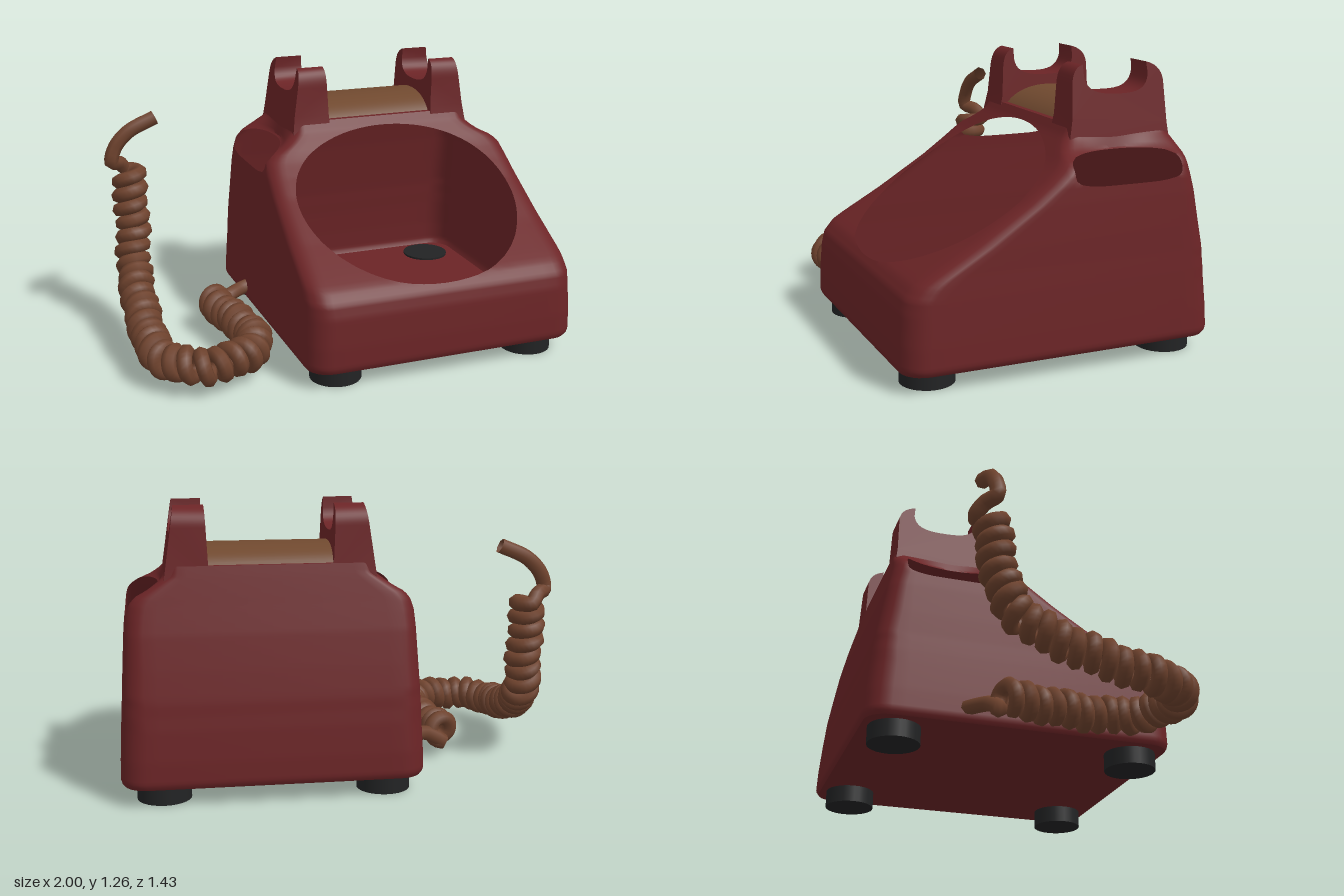
import * as THREE from 'three';
import { toCreasedNormals } from 'three/addons/utils/BufferGeometryUtils.js';

const CX = 0.34; // centre of the housing across x
const mat = (name, color, side = THREE.DoubleSide) => {
  const m = new THREE.MeshStandardMaterial({ color, side });
  m.name = name;
  return m;
};
const red = mat('dark red', 0x6b2426);
const cordBrown = mat('cord brown', 0x6e422d);
const barBrown = mat('bar brown', 0x70492f);
const black = mat('black', 0x222324);

// Housing levels: y, half width, front z, back z, corner radius
const LEVELS = [
  [0.08, 0.645, 0.705, -0.705, 0.10], [0.10, 0.66, 0.717, -0.717, 0.11],
  [0.20, 0.657, 0.715, -0.712, 0.11], [0.33, 0.651, 0.706, -0.70, 0.11],
  [0.39, 0.648, 0.69, -0.692, 0.10], [0.44, 0.645, 0.65, -0.687, 0.10],
  [0.47, 0.643, 0.60, -0.682, 0.09], [0.58, 0.638, 0.41, -0.662, 0.09],
  [0.725, 0.63, 0.18, -0.634, 0.08], [0.80, 0.624, 0.08, -0.616, 0.08],
  [0.85, 0.615, 0.02, -0.604, 0.08], [0.88, 0.595, -0.01, -0.597, 0.08],
  [0.965, 0.45, -0.085, -0.577, 0.05], [1.01, 0.435, -0.112, -0.566, 0.04],
];

function levelAt(y) {
  let i = 0;
  while (i < LEVELS.length - 2 && y > LEVELS[i + 1][0]) i++;
  const a = LEVELS[i], b = LEVELS[i + 1], t = (y - a[0]) / (b[0] - a[0]);
  return a.map((v, k) => v + (b[k] - v) * t);
}

// Rounded rectangle ring at height y; scale 0 collapses it to close the shell
function ring(y, scale = 1) {
  const [, hw, zf, zb, r] = levelAt(y);
  const zc = (zf + zb) / 2, hd = (zf - zb) / 2, out = [];
  const corners = [[1, 1], [-1, 1], [-1, -1], [1, -1]];
  const pts = [];
  corners.forEach(([sx, sz], q) => {
    for (let k = 0; k <= 6; k++) {
      const a = (q + k / 6) * Math.PI / 2;
      pts.push([sx * (hw - r) + r * Math.cos(a), sz * (hd - r) + r * Math.sin(a)]);
    }
  });
  pts.forEach((p, i) => {
    const n = pts[(i + 1) % pts.length], steps = i % 7 === 6 ? 20 : 1;
    for (let s = 0; s < steps; s++) {
      let x = p[0] + (n[0] - p[0]) * s / steps;
      const z = zc + p[1] + (n[1] - p[1]) * s / steps;
      // shoulder is pinched inward along the hand openings
      const across = Math.max(0, 1 - ((z + 0.3) / 0.27) ** 2);
      const up = y < 0.905 ? Math.max(0, (y - 0.8) / 0.105) : Math.max(0, (0.965 - y) / 0.06);
      if (Math.abs(x) > 0.4) x -= Math.sign(x) * 0.08 * across * up;
      out.push(new THREE.Vector3(CX + x * scale, y, zc + (z - zc) * scale));
    }
  });
  return out;
}

// Keep the part of a triangle list where f is positive
function clip(tris, f) {
  const result = [];
  for (const t of tris) {
    const poly = [];
    t.forEach((a, i) => {
      const b = t[(i + 1) % 3], fa = f(a), fb = f(b);
      if (fa > 0) poly.push(a);
      if ((fa > 0) !== (fb > 0)) poly.push(a.clone().lerp(b, fa / (fa - fb)));
    });
    for (let i = 1; i + 1 < poly.length; i++) result.push([poly[0], poly[i], poly[i + 1]]);
  }
  return result;
}

function housingGeometry() {
  const rings = [ring(0.08, 0)];
  const N = 66;
  for (let i = 0; i <= N; i++) rings.push(ring(0.08 + 0.93 * i / N));
  rings.push(ring(1.01, 0));
  let tris = [];
  for (let j = 0; j + 1 < rings.length; j++) {
    const a = rings[j], b = rings[j + 1];
    a.forEach((p, i) => {
      const k = (i + 1) % a.length;
      if (j < rings.length - 2) tris.push([p, b[i], b[k]]);
      if (j > 0) tris.push([p, b[k], a[k]]);
    });
  }
  // round dial opening in the slope
  tris = clip(tris, p => p.z < -0.2 ? 1 : ((p.x - CX) / 0.54) ** 2 + ((p.y - 0.695) / 0.275) ** 2 - 1);
  // hand openings in both shoulders
  tris = clip(tris, p => Math.abs(p.x - CX) < 0.4 ? 1
    : ((p.z + 0.295) / 0.255) ** 4 + ((p.y - 0.845) / 0.062) ** 4 - 1);
  const g = new THREE.BufferGeometry().setFromPoints(tris.flat());
  return toCreasedNormals(g, 0.6);
}

// Saddle block for one end of the handset, tapered on its outer side
function cradleGeometry(side) {
  const s = new THREE.Shape();
  s.moveTo(-0.095, 0.95);
  s.lineTo(-0.112, 1.04);
  s.lineTo(-0.118, 1.17);
  s.quadraticCurveTo(-0.122, 1.25, -0.172, 1.26);
  s.lineTo(-0.175, 1.21);
  s.bezierCurveTo(-0.185, 1.15, -0.24, 1.133, -0.33, 1.132);
  s.bezierCurveTo(-0.42, 1.13, -0.475, 1.14, -0.483, 1.21);
  s.lineTo(-0.478, 1.26);
  s.quadraticCurveTo(-0.555, 1.24, -0.558, 1.17);
  s.lineTo(-0.566, 1.0);
  s.lineTo(-0.572, 0.95);
  const g = new THREE.ExtrudeGeometry(s, {
    depth: 1, bevelEnabled: false, curveSegments: 10,
  });
  const p = g.attributes.position;
  for (let i = 0; i < p.count; i++) {
    const z = p.getX(i), y = p.getY(i), outer = p.getZ(i) > 0.5;
    const t = Math.min(1, (y - 0.95) / 0.31);
    const d = outer ? 0.455 - 0.045 * t : 0.265 + 0.015 * t;
    p.setXYZ(i, CX + side * d, y, z);
  }
  return toCreasedNormals(g.toNonIndexed ? (g.index ? g.toNonIndexed() : g) : g, 0.6);
}

// Arched bar between the cradles
function barGeometry() {
  const s = new THREE.Shape();
  s.moveTo(0.12, 0.985);
  s.bezierCurveTo(0.16, 1.05, 0.24, 1.085, 0.345, 1.085);
  s.bezierCurveTo(0.45, 1.085, 0.53, 1.06, 0.562, 0.985);
  const g = new THREE.ExtrudeGeometry(s, { depth: 0.55, bevelEnabled: false, curveSegments: 12 });
  g.rotateY(Math.PI / 2);
  g.translate(CX - 0.275, 0, 0);
  return toCreasedNormals(g, 0.6);
}

// Coiled cord: a helix wound around a guide path, with straight leads
function cordGeometry() {
  const v = (x, y, z) => new THREE.Vector3(x, y, z);
  const guide = new THREE.CatmullRomCurve3([
    v(-0.52, 0.13, -0.19), v(-0.49, 0.13, 0), v(-0.46, 0.13, 0.2), v(-0.47, 0.13, 0.38),
    v(-0.57, 0.13, 0.49), v(-0.72, 0.13, 0.53), v(-0.86, 0.13, 0.45), v(-0.91, 0.14, 0.3),
    v(-0.91, 0.18, 0.12), v(-0.9, 0.24, -0.06), v(-0.885, 0.33, -0.22), v(-0.87, 0.46, -0.29),
    v(-0.865, 0.62, -0.32), v(-0.87, 0.79, -0.35),
  ]);
  const turns = 33, per = 12, n = turns * per;
  const frames = guide.computeFrenetFrames(n);
  const pts = [v(-0.25, 0.16, -0.28), v(-0.34, 0.145, -0.26), v(-0.43, 0.13, -0.21)];
  for (let i = 0; i <= n; i++) {
    const a = i / per * Math.PI * 2;
    const r = 0.053 + 0.006 * Math.sin(i * 0.37);
    pts.push(guide.getPointAt(i / n)
      .addScaledVector(frames.normals[i], r * Math.cos(a))
      .addScaledVector(frames.binormals[i], r * Math.sin(a)));
  }
  pts.push(v(-0.9, 0.82, -0.38), v(-0.945, 0.84, -0.34), v(-0.925, 0.91, -0.34),
    v(-0.86, 0.98, -0.34), v(-0.73, 1.04, -0.34));
  return new THREE.TubeGeometry(new THREE.CatmullRomCurve3(pts), n * 2, 0.035, 7);
}

export function createModel() {
  const model = new THREE.Group();
  model.name = 'telephone';
  const add = (name, geometry, material) => {
    const m = new THREE.Mesh(geometry, material);
    m.name = name;
    model.add(m);
    return m;
  };
  add('housing', housingGeometry(), red);
  add('leftCradle', cradleGeometry(1), red);
  add('rightCradle', cradleGeometry(-1), red);
  add('cradleBar', barGeometry(), barBrown);
  add('coiledCord', cordGeometry(), cordBrown);

  // Round feet, poking slightly through the floor
  for (const x of [-0.15, 0.815]) {
    for (const z of [0.56, -0.557]) {
      add('foot', new THREE.CylinderGeometry(0.118, 0.118, 0.09, 28), black).position.set(x, 0.045, z);
    }
  }
  return model;
}
